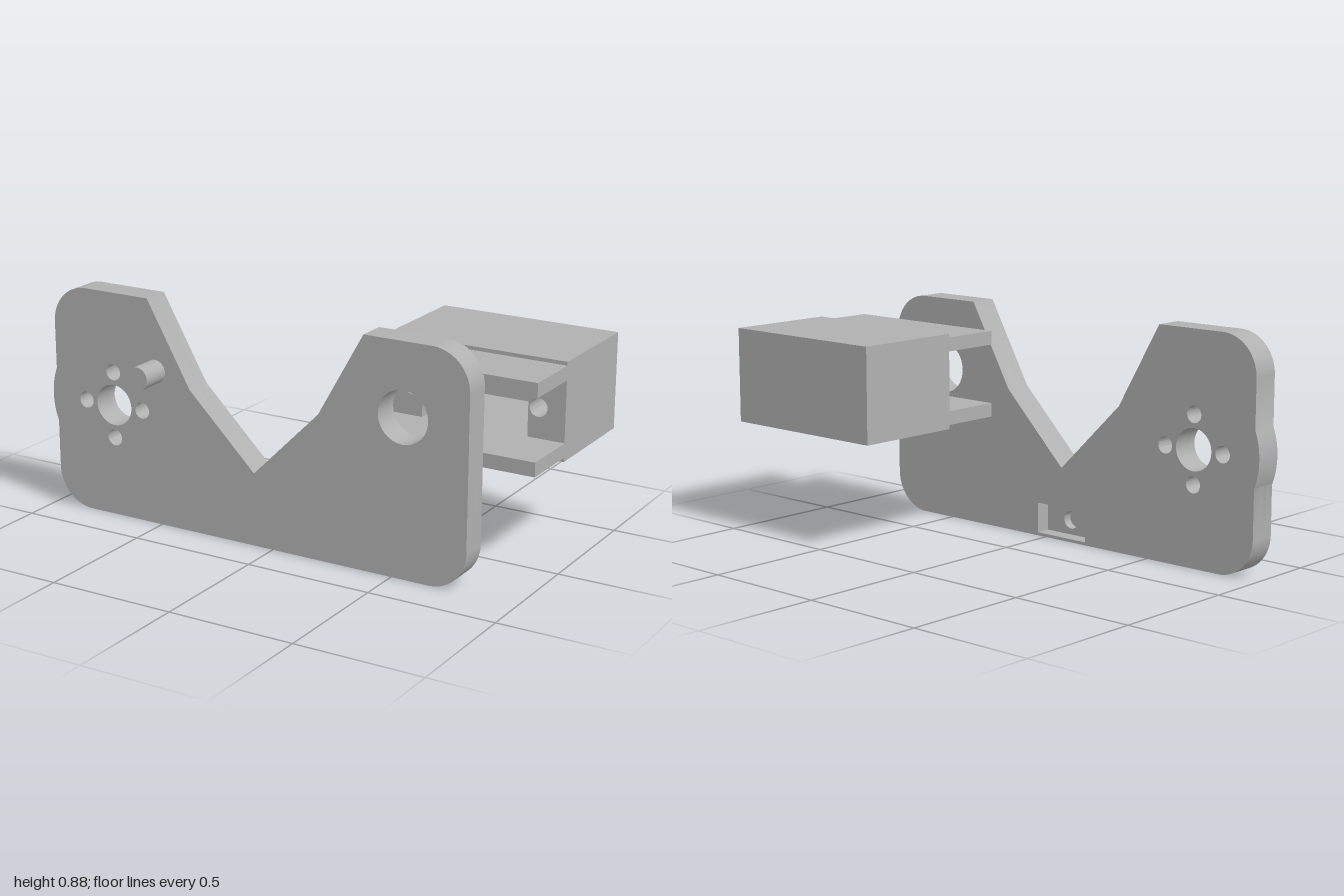
import * as THREE from 'three';
import { toCreasedNormals } from 'three/addons/utils/BufferGeometryUtils.js';

const grey = new THREE.MeshStandardMaterial({ color: 0xb0b0b0 });
grey.name = 'plain grey';

const circle = (x, y, r) => new THREE.Path().absarc(x, y, r, 0, Math.PI * 2, true);

function rect(x0, x1, y0, y1, Type = THREE.Path) {
  return new Type([[x0, y0], [x1, y0], [x1, y1], [x0, y1]].map(([x, y]) => new THREE.Vector2(x, y)));
}

// Extrude a shape with holes between two depths
function slab(name, shape, holes, z0, z1) {
  shape.holes = holes;
  const geo = new THREE.ExtrudeGeometry(shape, { depth: z1 - z0, bevelEnabled: false, curveSegments: 24 });
  const mesh = new THREE.Mesh(toCreasedNormals(geo.translate(0, 0, z0), 0.5), grey);
  mesh.name = name;
  return mesh;
}

// Plate outline: rounded corners, V notch and a bulge beside the hub hole
function plateShape() {
  const L = -0.98, R = 0.8, T = 0.885, r = 0.15, q = Math.PI / 2;
  const bulge = Math.acos(0.27 / 0.29);
  const s = new THREE.Shape();
  s.moveTo(L + r, 0);
  s.absarc(R - r, r, r, -q, 0, false);
  s.absarc(R - r, T - r, r, 0, q, false);
  for (const [x, y] of [[0.38, T], [0.195, 0.56], [-0.08, 0.285], [-0.36, 0.56], [-0.545, T]]) s.lineTo(x, y);
  s.absarc(L + r, T - r, r, q, 2 * q, false);
  s.absarc(-0.71, 0.443, 0.29, Math.PI - bulge, Math.PI + bulge, false);
  s.absarc(L + r, r, r, 2 * q, 3 * q, false);
  return s;
}

// Holes that pass right through the plate
function plateHoles() {
  const holes = [circle(-0.71, 0.443, 0.08), circle(0.54, 0.608, 0.1)];
  for (const [dx, dy] of [[1, 0], [0, 1], [-1, 0], [0, -1]]) {
    holes.push(circle(-0.71 + dx * 0.13, 0.443 + dy * 0.13, 0.032));
  }
  return holes;
}

export function createModel() {
  const model = new THREE.Group();
  model.name = 'mountingBracket';

  // Plate in layers: back with nut pocket, blind screw hole, closed front
  const plate = new THREE.Group();
  plate.name = 'plate';
  plate.add(
    slab('plateBack', plateShape(), [...plateHoles(), rect(-0.2, 0.04, 0.012, 0.13)], 0.225, 0.285),
    slab('plateMiddle', plateShape(), [...plateHoles(), circle(-0.08, 0.07, 0.035)], 0.285, 0.32),
    slab('plateFront', plateShape(), plateHoles(), 0.32, 0.335)
  );
  model.add(plate);

  // Peg on the front
  const peg = new THREE.Mesh(new THREE.CylinderGeometry(0.045, 0.045, 0.115, 40), grey);
  peg.name = 'peg';
  peg.rotation.x = Math.PI / 2;
  peg.position.set(-0.515, 0.608, 0.3925);
  model.add(peg);

  // Motor housing: open pocket with screw holes at each end and a closed back
  const outer = () => rect(0.285, 1, 0.423, 0.793, THREE.Shape);
  const pocket = () => rect(0.43, 0.855, 0.493, 0.725);
  const housing = new THREE.Group();
  housing.name = 'housing';
  housing.add(
    slab('housingFront', outer(), [pocket(), circle(0.39, 0.608, 0.035), circle(0.895, 0.608, 0.035)], -0.2, -0.012),
    slab('housingMiddle', outer(), [pocket()], -0.38, -0.2),
    slab('housingBack', outer(), [], -0.45, -0.38)
  );
  model.add(housing);

  // Two flat arms joining the housing to the plate
  for (const [name, y0] of [['lowerArm', 0.439], ['upperArm', 0.725]]) {
    model.add(slab(name, rect(0.285, 1, y0, y0 + 0.054, THREE.Shape), [], -0.012, 0.225));
  }
  return model;
}
